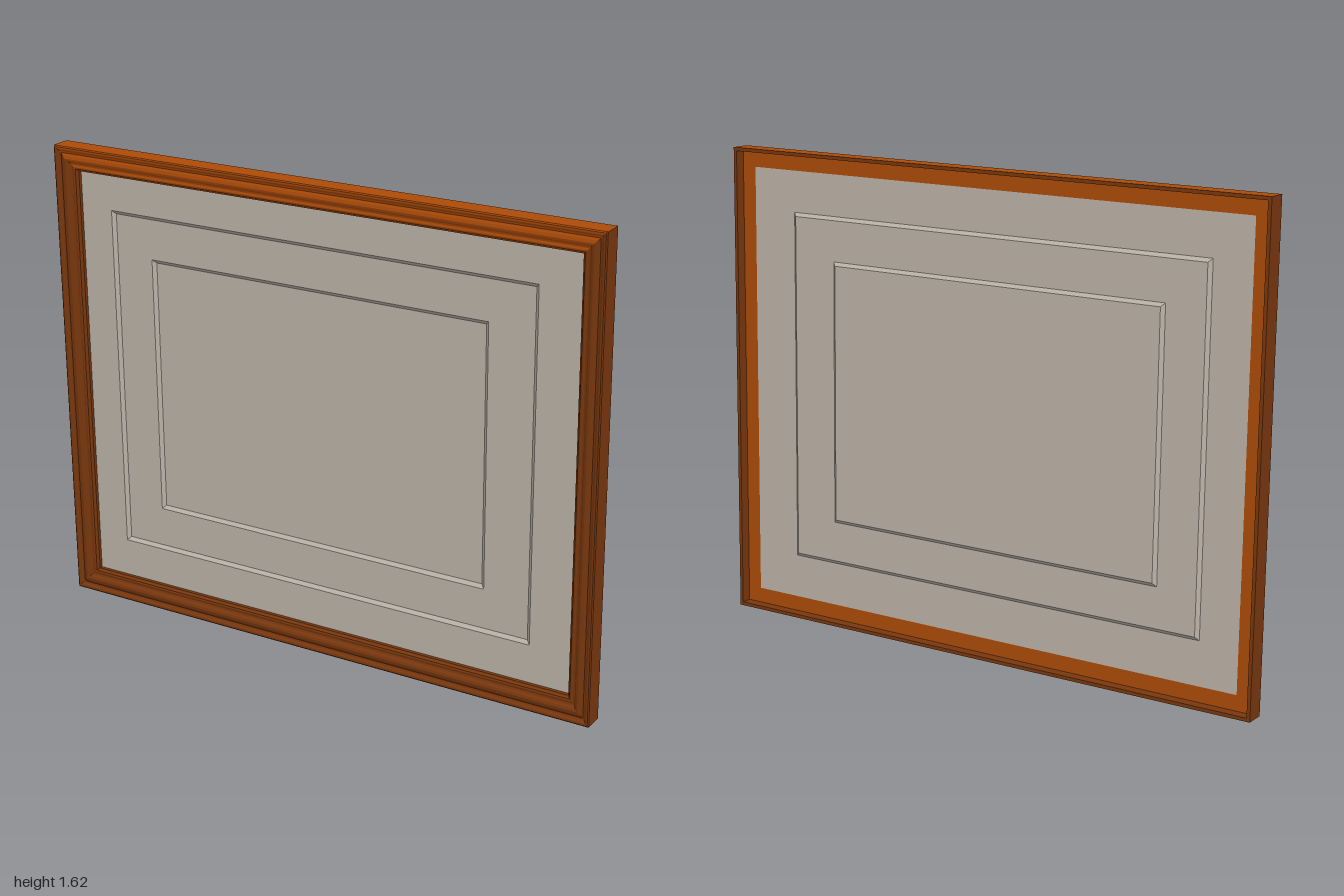
import * as THREE from 'three';

const HEIGHT = 1.62, DEPTH = 0.071, LEAN = 0.0214;

// Flat-shaded skin through a series of rectangles [x0, x1, y0, y1, z].
// pickMaterial(step, side) gives a material index; sides run bottom, right, top, left.
function rectLoft(rects, pickMaterial) {
  const pos = [];
  const geo = new THREE.BufferGeometry();
  const corners = ([x0, x1, y0, y1, z]) => [[x0, y0, z], [x1, y0, z], [x1, y1, z], [x0, y1, z]];
  for (let k = 0; k < rects.length - 1; k++) {
    const p = corners(rects[k]), q = corners(rects[k + 1]);
    for (let i = 0; i < 4; i++) {
      const n = (i + 1) % 4;
      geo.addGroup(pos.length / 3, 6, pickMaterial(k, i));
      pos.push(...p[i], ...p[n], ...q[n], ...p[i], ...q[n], ...q[i]);
    }
  }
  geo.setAttribute('position', new THREE.Float32BufferAttribute(pos, 3));
  geo.computeVertexNormals();
  return geo;
}

export function createModel() {
  const darkWood = new THREE.MeshStandardMaterial({ color: 0x78370d });
  darkWood.name = 'dark brown wood';
  const brightWood = new THREE.MeshStandardMaterial({ color: 0xab4b08 });
  brightWood.name = 'bright orange brown wood';
  const board = new THREE.MeshStandardMaterial({ color: 0xbbb2a7, side: THREE.DoubleSide });
  board.name = 'pale grey board';

  const picture = new THREE.Group();
  picture.name = 'leaningFrame';

  // Mitred moulding: [distance in from the outer edge, distance forward of the back]
  const profile = [
    [0, 0], [0, 0.068], [0.004, 0.071], [0.011, 0.07], [0.018, 0.064], [0.024, 0.062],
    [0.032, 0.066], [0.042, 0.068], [0.05, 0.065], [0.056, 0.058], [0.062, 0.056],
    [0.069, 0.058], [0.075, 0.056], [0.079, 0.05], [0.083, 0.048], [0.083, 0.036],
    [0.012, 0.036], [0.012, 0], [0, 0],
  ];
  // The top rail and the ledge behind the moulding are brighter
  const ledge = 15, top = 2;
  const woodIndex = (step, side) => (step === ledge || (side === top && step < ledge) ? 1 : 0);
  const frame = new THREE.Mesh(
    rectLoft(profile.map(([u, w]) => [-1 + u, 1 - u, u, HEIGHT - u, w]), woodIndex),
    [darkWood, brightWood]);
  frame.name = 'mouldedFrame';
  picture.add(frame);

  // Thin board pressed backwards in two bevelled steps, closed at its centre line
  const bevel = 0.012;
  const inset = ([x0, x1, y0, y1]) => [x0 + bevel, x1 - bevel, y0 + bevel, y1 - bevel];
  const outerStep = [-0.8, 0.77, 0.215, 1.415];
  const innerStep = [-0.65, 0.6, 0.365, 1.265];
  const panel = new THREE.Mesh(rectLoft([
    [-0.935, 0.935, 0.065, HEIGHT - 0.065, 0.0345],
    [...outerStep, 0.0345],
    [...inset(outerStep), 0.0245],
    [...innerStep, 0.0245],
    [...inset(innerStep), 0.0145],
    [-0.2, 0.15, 0.815, 0.815, 0.0145],
  ], () => 0), [board]);
  panel.name = 'steppedPanel';
  picture.add(panel);

  // Centre the frame, lean its top forward and rest it on the ground
  for (const part of [frame, panel]) part.geometry.translate(0, -HEIGHT / 2, -DEPTH / 2);
  picture.rotation.x = LEAN;
  picture.position.y = (HEIGHT / 2) * Math.cos(LEAN) + (DEPTH / 2) * Math.sin(LEAN);

  const model = new THREE.Group();
  model.name = 'pictureFrame';
  model.add(picture);
  return model;
}
